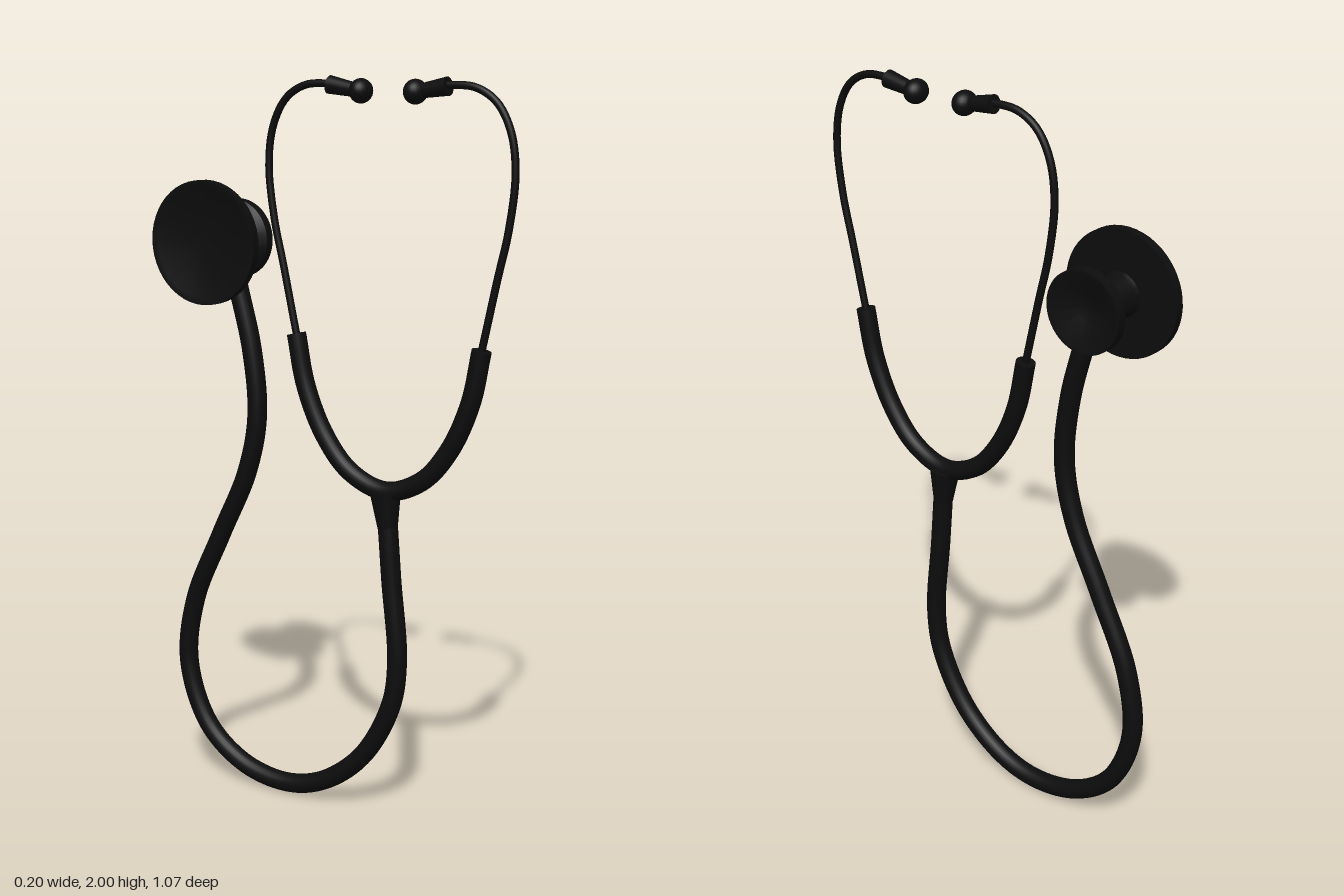
import * as THREE from 'three';
import { mergeGeometries, toCreasedNormals } from 'three/addons/utils/BufferGeometryUtils.js';

const black = new THREE.MeshStandardMaterial({ color: 0x0d0d0d });

// Path points are [z, y] in the plane x = 0
const toPath = (pts) => new THREE.CatmullRomCurve3(pts.map(([z, y]) => new THREE.Vector3(0, y, z)));

function mesh(name, geometry) {
  const m = new THREE.Mesh(geometry, black);
  m.name = name;
  return m;
}

// Round tube with flat closed ends
function cappedTube(name, pts, radius, segments) {
  const path = toPath(pts);
  const parts = [new THREE.TubeGeometry(path, segments, radius, 20)];
  for (const t of [0, 1]) {
    const dir = path.getTangent(t).multiplyScalar(t ? 1 : -1);
    const cap = new THREE.CircleGeometry(radius, 20);
    cap.applyQuaternion(new THREE.Quaternion().setFromUnitVectors(new THREE.Vector3(0, 0, 1), dir));
    const p = path.getPoint(t);
    cap.translate(p.x, p.y, p.z);
    parts.push(cap);
  }
  return mesh(name, mergeGeometries(parts));
}

// Tapered rod between two [z, y] points
function rod(name, a, b, ra, rb) {
  const start = new THREE.Vector3(0, a[1], a[0]);
  const end = new THREE.Vector3(0, b[1], b[0]);
  const dir = end.clone().sub(start);
  const m = mesh(name, new THREE.CylinderGeometry(rb, ra, dir.length(), 20));
  m.position.copy(start).add(end).multiplyScalar(0.5);
  m.quaternion.setFromUnitVectors(new THREE.Vector3(0, 1, 0), dir.normalize());
  return m;
}

export function createModel() {
  const model = new THREE.Group();
  model.name = 'stethoscope';
  const body = new THREE.Group();
  body.name = 'body';
  body.rotation.y = 0.07;
  body.position.x = 0.015;
  model.add(body);

  // Headset: both sides mirrored about z = 0.16
  const mid = 0.16;
  const armPts = [[0.44, 1.32], [0.41, 1.18], [0.35, 1.05], [0.27, 0.96], [mid, 0.92]];
  const mirror = ([z, y]) => [2 * mid - z, y];
  body.add(cappedTube('yokeTube', [...armPts, ...armPts.slice(0, -1).reverse().map(mirror)], 0.026, 80));

  const earPts = [[0.43, 1.28], [0.44, 1.32], [0.48, 1.5], [0.51, 1.63], [0.525, 1.77], [0.51, 1.87],
    [0.47, 1.94], [0.41, 1.975], [0.32, 1.98]];
  for (const [side, place] of [['front', (p) => p], ['back', mirror]]) {
    body.add(cappedTube(side + 'EarTube', earPts.map(place), 0.01, 60));
    body.add(rod(side + 'EarSleeve', place([0.335, 1.977]), place([0.25, 1.963]), 0.024, 0.018));
    const tip = mesh(side + 'EarTip', new THREE.SphereGeometry(1, 24, 16));
    const [z, y] = place([0.24, 1.962]);
    tip.scale.set(0.036, 0.032, 0.03);
    tip.position.set(0, y, z);
    body.add(tip);
  }

  // Flared joint and the long hanging tube
  body.add(rod('yokeJoint', [0.168, 0.82], [0.16, 0.92], 0.027, 0.042));
  body.add(cappedTube('mainTube', [[0.16, 0.92], [0.168, 0.83], [0.18, 0.68], [0.2, 0.45], [0.18, 0.32],
    [0.09, 0.16], [-0.04, 0.06], [-0.165, 0.03], [-0.31, 0.06], [-0.43, 0.155], [-0.495, 0.33],
    [-0.47, 0.52], [-0.375, 0.73], [-0.285, 0.92], [-0.25, 1.08], [-0.265, 1.26], [-0.31, 1.44]], 0.027, 160));
  body.add(rod('chestStem', [-0.3, 1.4], [-0.36, 1.54], 0.018, 0.018));

  // Chest piece: wide diaphragm, hub and hollow bell on one axis
  const profile = [[0, -0.078], [0.15, -0.078], [0.155, -0.08], [0.168, -0.08], [0.168, -0.056], [0.06, -0.053],
    [0.055, -0.04], [0.055, 0.04], [0.075, 0.05], [0.108, 0.072], [0.108, 0.1], [0.098, 0.1], [0.04, 0.07], [0, 0.068]];
  const chest = new THREE.LatheGeometry(profile.map(([r, h]) => new THREE.Vector2(r, h)), 48);
  chest.rotateZ(-Math.PI / 2);
  const chestPiece = mesh('chestPiece', toCreasedNormals(chest, 0.5));
  chestPiece.position.set(0, 1.555, -0.37);
  body.add(chestPiece);

  return model;
}
